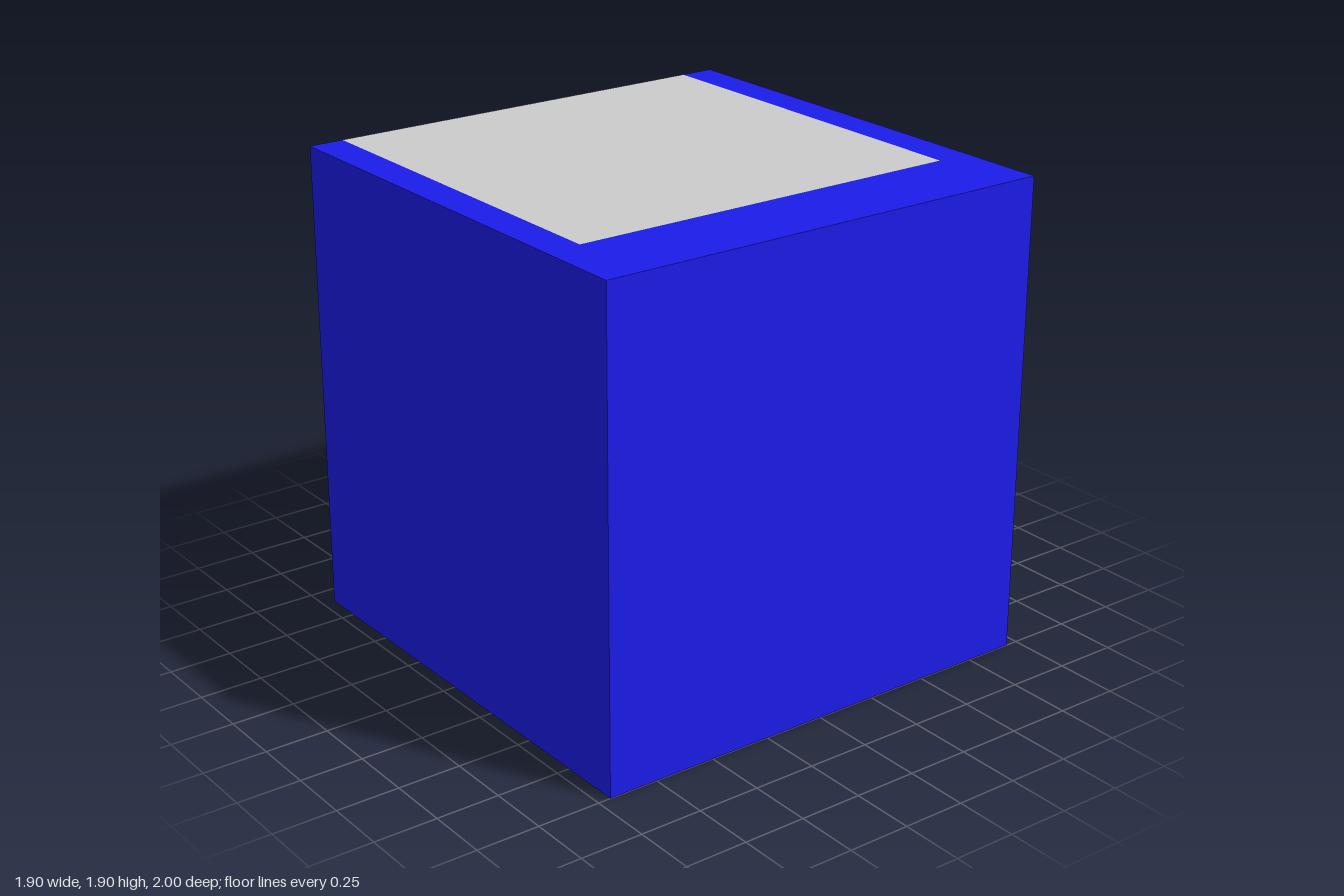
import * as THREE from 'three';

const blue = new THREE.MeshStandardMaterial({ color: 0x1c1cea });
const black = new THREE.MeshStandardMaterial({ color: 0x0e0e0e });
const grey = new THREE.MeshStandardMaterial({ color: 0xcccccc, side: THREE.DoubleSide });

const HALF = 0.95, INNER = 0.81;          // half widths of cabinet and cavity
const BACK = -0.9, FRONT = 1, CAVITY = 0.655; // z positions
const FLOOR = 0.58, PANEL = 1.53, TOP = 1.9;  // y positions

function add(parent, name, geometry, material) {
  const mesh = new THREE.Mesh(geometry, material);
  mesh.name = name;
  parent.add(mesh);
  return mesh;
}

// Box given by its extents on each axis
function box(parent, name, material, [x0, x1], [y0, y1], [z0, z1]) {
  const mesh = add(parent, name, new THREE.BoxGeometry(x1 - x0, y1 - y0, z1 - z0), material);
  mesh.position.set((x0 + x1) / 2, (y0 + y1) / 2, (z0 + z1) / 2);
}

export function createModel() {
  const model = new THREE.Group();
  model.name = 'cabinet';

  // Solid base below the cavity
  box(model, 'base', blue, [-HALF, HALF], [0, FLOOR], [BACK, FRONT]);

  // U-shaped walls, open at the back
  const outline = [
    [-HALF, BACK], [-HALF, FRONT], [HALF, FRONT], [HALF, BACK],
    [INNER, BACK], [INNER, CAVITY], [-INNER, CAVITY], [-INNER, BACK],
  ];
  const shape = new THREE.Shape(outline.map(([x, z]) => new THREE.Vector2(x, -z)));
  const walls = new THREE.ExtrudeGeometry(shape, { depth: TOP - FLOOR, bevelEnabled: false });
  walls.rotateX(-Math.PI / 2);
  add(model, 'walls', walls, blue).position.y = FLOOR;

  // Thin top sheet flush with the rim
  const lid = new THREE.PlaneGeometry(INNER * 2, CAVITY - BACK).rotateX(-Math.PI / 2);
  add(model, 'topSheet', lid, grey).position.set(0, TOP, (CAVITY + BACK) / 2);

  // Thin drawer panel across the upper part of the opening
  const panel = new THREE.PlaneGeometry(INNER * 2, TOP - PANEL).rotateY(Math.PI);
  add(model, 'drawerPanel', panel, grey).position.set(0, (TOP + PANEL) / 2, BACK);

  // Handle: a bar held by two short legs
  const handle = new THREE.Group();
  handle.name = 'handle';
  const height = [1.645, 1.735];
  box(handle, 'handleBar', black, [-0.335, 0.26], height, [-1, -0.98]);
  box(handle, 'rightLeg', black, [-0.335, -0.317], height, [-0.98, BACK]);
  box(handle, 'leftLeg', black, [0.235, 0.26], height, [-0.98, BACK]);
  model.add(handle);

  return model;
}
